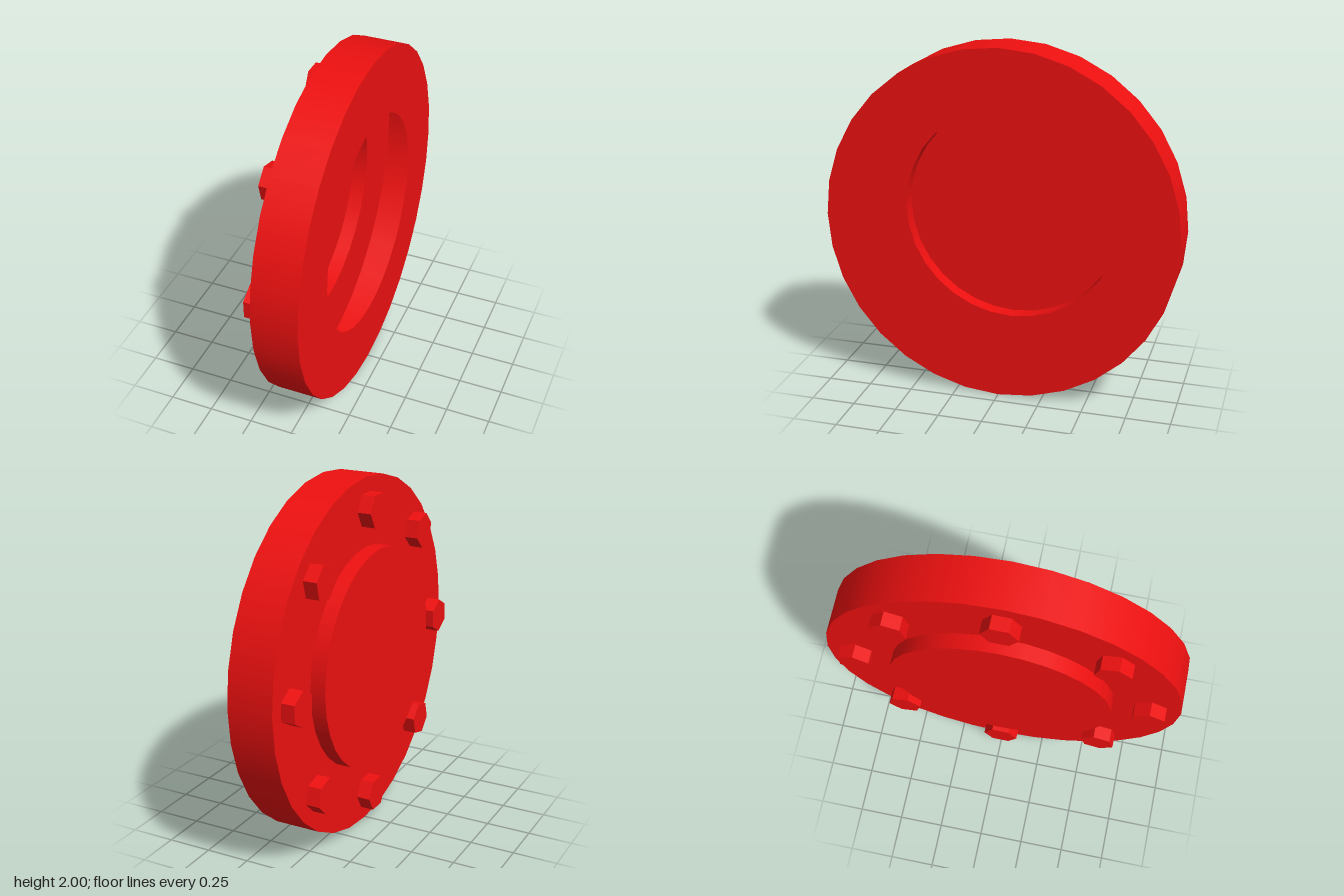
import * as THREE from 'three';

export function createModel() {
  const model = new THREE.Group();
  const color = 0xee1010;
  const shellMaterial = new THREE.MeshStandardMaterial({ color, side: THREE.DoubleSide });
  const boltMaterial = new THREE.MeshStandardMaterial({ color, flatShading: true });

  // Everything is turned about y, then tipped so that +y becomes +x
  const cover = new THREE.Group();
  cover.name = 'roundCover';
  cover.rotation.z = -Math.PI / 2;
  cover.position.y = 1;
  model.add(cover);

  const outer = 1, inner = 0.622;
  const open = 0.172, plate = -0.086, cap = -0.172;

  // Hollow thin shell: each surface has its own crisp edges
  const surfaces = {
    raisedCap: [[0, cap], [inner, cap]],
    raisedCapWall: [[inner, cap], [inner, plate]],
    boltPlate: [[inner, plate], [outer, plate]],
    outerRim: [[outer, plate], [outer, open]],
    openFace: [[outer, open], [inner, open]],
  };
  for (const [name, points] of Object.entries(surfaces)) {
    const profile = points.map(([r, h]) => new THREE.Vector2(r, h));
    const mesh = new THREE.Mesh(new THREE.LatheGeometry(profile, 32), shellMaterial);
    mesh.name = name;
    cover.add(mesh);
  }

  // Ring of hexagonal bolt heads on the closed side
  const boltEnd = -0.163, boltRadius = 0.1, boltCircle = 0.828;
  const boltGeometry = new THREE.CylinderGeometry(boltRadius, boltRadius, plate - boltEnd, 6);
  for (let i = 0; i < 8; i++) {
    const angle = (i * Math.PI) / 4;
    const bolt = new THREE.Mesh(boltGeometry, boltMaterial);
    bolt.name = `bolt${i + 1}`;
    bolt.position.set(boltCircle * Math.cos(angle), (plate + boltEnd) / 2, -boltCircle * Math.sin(angle));
    bolt.rotation.y = angle;
    cover.add(bolt);
  }

  return model;
}
